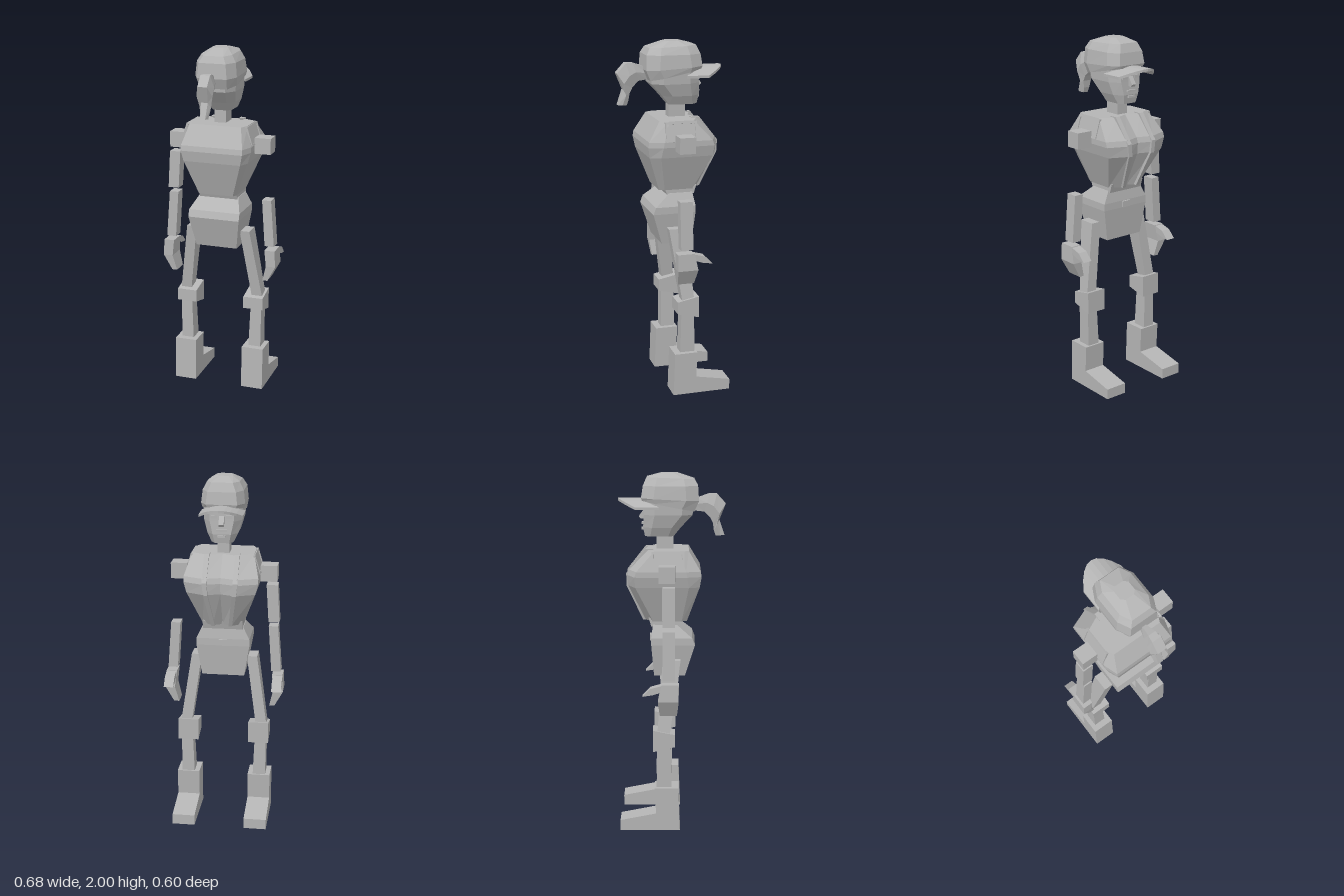
import * as THREE from 'three';

const grey = new THREE.MeshStandardMaterial({ color: 0xb4b4b4 });
grey.name = 'plain grey';

const flat = (g) => {
  const f = g.index ? g.toNonIndexed() : g;
  f.computeVertexNormals();
  return f;
};

// Skin equal-sized rings of [x, y, z] points and close both ends
function loft(rings) {
  const n = rings[0].length, index = [], last = (rings.length - 1) * n;
  for (let r = 0; r < rings.length - 1; r++) {
    for (let i = 0; i < n; i++) {
      const a = r * n + i, b = r * n + (i + 1) % n;
      index.push(a, b, b + n, a, b + n, a + n);
    }
  }
  for (let i = 1; i < n - 1; i++) {
    index.push(0, i + 1, i, last, last + i, last + i + 1);
  }
  const g = new THREE.BufferGeometry();
  g.setAttribute('position', new THREE.Float32BufferAttribute(rings.flat(2), 3));
  g.setIndex(index);
  return flat(g);
}

// Four-sided block from rows of [y, x0, x1, z0, z1], bottom to top
const block = (rows) => loft(rows.map(([y, x0, x1, z0, z1]) =>
  [[x0, y, z1], [x1, y, z1], [x1, y, z0], [x0, y, z0]]));

// Symmetric block with cut corners: [y, halfX, z0, z1, cutX, cutZ, tilt]
const cutBlock = (rows) => loft(rows.map(([y, x, z0, z1, cx, cz, t = 0]) =>
  [[-x + cx, z1], [x - cx, z1], [x, z1 - cz], [x, z0 + cz],
    [x - cx, z0], [-x + cx, z0], [-x, z0 + cz], [-x, z1 - cz]]
    .map(([px, pz]) => [px, y + t * pz, pz])));

// Side profile of [z, y] points extruded from x0 to x1
function prism(points, x0, x1) {
  const shape = new THREE.Shape(points.map(([z, y]) => new THREE.Vector2(z, y)));
  const g = new THREE.ExtrudeGeometry(shape, { depth: x1 - x0, bevelEnabled: false });
  return flat(g.rotateY(-Math.PI / 2).translate(x1, 0, 0));
}

// Mirrored copy in x, keeping faces outward
function mirrored(geo) {
  const p = geo.attributes.position, v = [];
  for (let i = 0; i < p.count; i += 3) {
    for (const j of [i, i + 2, i + 1]) v.push(-p.getX(j), p.getY(j), p.getZ(j));
  }
  const m = new THREE.BufferGeometry();
  m.setAttribute('position', new THREE.Float32BufferAttribute(v, 3));
  return flat(m);
}

export function createModel() {
  const model = new THREE.Group();
  model.name = 'capped figure';
  model.position.x = -0.005;
  const add = (name, geo) => {
    const mesh = new THREE.Mesh(geo, grey);
    mesh.name = name;
    model.add(mesh);
  };
  const pair = (name, geo) => {
    add(name + 'Left', geo);
    add(name + 'Right', mirrored(geo));
  };
  const box = (x, y, z, w, h, d) => flat(new THREE.BoxGeometry(w, h, d).translate(x, y, z));

  // Head, cap and visor
  add('head', cutBlock([
    [1.65, 0.06, -0.15, 0.01, 0.02, 0.03],
    [1.70, 0.085, -0.16, 0.05, 0.035, 0.05],
    [1.77, 0.105, -0.155, 0.115, 0.04, 0.06],
    [1.87, 0.11, -0.15, 0.125, 0.04, 0.06],
  ]));
  add('cap', cutBlock([
    [1.815, 0.113, -0.165, 0.125, 0.035, 0.07, -0.2],
    [1.855, 0.12, -0.17, 0.15, 0.035, 0.07, -0.05],
    [1.93, 0.112, -0.16, 0.145, 0.035, 0.07, 0],
    [1.972, 0.088, -0.14, 0.125, 0.03, 0.06, -0.04],
    [2.0, 0.045, -0.06, 0.03, 0.02, 0.02],
  ]));
  const visor = [];
  for (let i = 0; i <= 8; i++) {
    const u = i / 4 - 1, y = 1.86 - 0.045 * u * u;
    const front = -0.30 + 0.10 * u * u, back = -0.15 + 0.08 * u * u;
    visor.push([[0.12 * u, y, front], [0.12 * u, y, back],
      [0.12 * u, y - 0.014, back], [0.12 * u, y - 0.014, front]]);
  }
  add('visor', loft(visor));

  // Face details
  add('nose', prism([[-0.14, 1.745], [-0.14, 1.80], [-0.155, 1.80], [-0.185, 1.758], [-0.175, 1.745]], -0.014, 0.014));
  add('upperLip', box(0, 1.722, -0.16, 0.06, 0.01, 0.018));
  add('lowerLip', box(0, 1.69, -0.16, 0.045, 0.012, 0.02));
  pair('eye', box(0.042, 1.795, -0.154, 0.034, 0.016, 0.012));
  pair('eyebrow', box(0.044, 1.822, -0.155, 0.045, 0.008, 0.014));

  // Ponytail: lower [y, z], upper [y, z], half width
  add('ponytail', loft([
    [1.79, 0.125, 1.86, 0.135, 0.015],
    [1.785, 0.18, 1.885, 0.21, 0.035],
    [1.75, 0.215, 1.885, 0.25, 0.045],
    [1.72, 0.23, 1.83, 0.30, 0.045],
    [1.68, 0.235, 1.74, 0.265, 0.032],
    [1.65, 0.245, 1.655, 0.295, 0.024],
  ].map(([ly, lz, uy, uz, w]) => {
    const my = (ly + uy) / 2, mz = (lz + uz) / 2, e = 0.6 * w;
    return [[-e, ly, lz], [e, ly, lz], [w, my, mz], [e, uy, uz], [-e, uy, uz], [-w, my, mz]];
  })));
  add('neck', block([[1.56, -0.033, 0.033, -0.085, 0.01], [1.68, -0.033, 0.033, -0.085, 0.01]]));

  // Jacket: chamfered back, shallow groove down the chest
  add('jacket', loft([
    [1.18, 0.115, -0.15, 0.085, 0.03],
    [1.38, 0.19, -0.245, 0.155, 0.06],
    [1.44, 0.205, -0.25, 0.165, 0.08],
    [1.47, 0.205, -0.24, 0.16, 0.08],
    [1.58, 0.172, -0.14, 0.095, 0.05],
  ].map(([y, x, z0, z1, c]) => [
    [-x * 0.87, z1], [x * 0.87, z1], [x, z1 - c], [x, z0 + 0.045], [x * 0.45, z0],
    [0, z0 + 0.03], [-x * 0.45, z0], [-x, z0 + 0.045], [-x, z1 - c],
  ].map(([px, pz]) => [px, y, pz]))));
  pair('lapel', block([
    [1.18, 0.038, 0.058, -0.162, -0.13],
    [1.38, 0.066, 0.09, -0.253, -0.21],
    [1.45, 0.072, 0.098, -0.254, -0.21],
    [1.585, 0.07, 0.098, -0.148, -0.10],
  ]));

  // Raised frame around each arm hole
  const frame = new THREE.Shape([[-0.10, -0.055], [0.08, -0.055], [0.08, 0.055], [-0.10, 0.055]]
    .map((p) => new THREE.Vector2(...p)));
  frame.holes.push(new THREE.Path([[-0.088, -0.045], [-0.088, 0.043], [0.068, 0.043], [0.068, -0.045]]
    .map((p) => new THREE.Vector2(...p))));
  pair('armholeFrame', flat(new THREE.ExtrudeGeometry(frame, { depth: 0.012, bevelEnabled: false })
    .rotateY(-Math.PI / 2).rotateZ(0.29).translate(0.194, 1.525, -0.01)));

  // Waist, hips and belt
  add('waist', block([[1.15, -0.112, 0.112, -0.115, 0.04], [1.20, -0.112, 0.112, -0.13, 0.06]]));
  add('hips', block([
    [0.87, -0.12, 0.12, -0.10, 0.075],
    [1.05, -0.15, 0.15, -0.115, 0.13],
    [1.09, -0.15, 0.15, -0.115, 0.115],
    [1.16, -0.115, 0.115, -0.105, 0.03],
  ]));
  add('buckle', box(0, 1.07, -0.118, 0.05, 0.035, 0.016));

  // Arms: the upper segment exists on one side only
  pair('shoulder', block([[1.42, 0.205, 0.298, -0.07, 0.02], [1.51, 0.205, 0.298, -0.07, 0.02]]));
  add('upperArmRight', block([[1.18, -0.312, -0.25, -0.05, 0.02], [1.395, -0.30, -0.237, -0.05, 0.02]]));
  pair('forearm', block([[0.885, 0.27, 0.325, -0.05, 0.02], [1.155, 0.252, 0.305, -0.05, 0.02]]));
  pair('hand', block([
    [0.68, 0.262, 0.292, -0.065, 0.03],
    [0.77, 0.285, 0.34, -0.075, 0.04],
    [0.865, 0.275, 0.335, -0.055, 0.04],
  ]));
  pair('thumb', prism([[-0.04, 0.865], [-0.115, 0.845], [-0.16, 0.80], [-0.10, 0.81], [-0.04, 0.83]], 0.28, 0.335));

  // Legs
  pair('thigh', block([[0.56, 0.187, 0.25, -0.08, -0.01], [0.97, 0.13, 0.188, -0.05, 0.05]]));
  pair('knee', prism([[0.02, 0.49], [0.02, 0.56], [-0.105, 0.585], [-0.105, 0.46]], 0.145, 0.262));
  pair('shin', block([[0.24, 0.172, 0.245, -0.085, 0], [0.49, 0.182, 0.247, -0.08, -0.005]]));
  pair('boot', prism([[0.047, 0], [0.038, 0.25], [-0.095, 0.25], [-0.088, 0.10], [-0.29, 0.06], [-0.29, 0]], 0.143, 0.272));

  return model;
}
